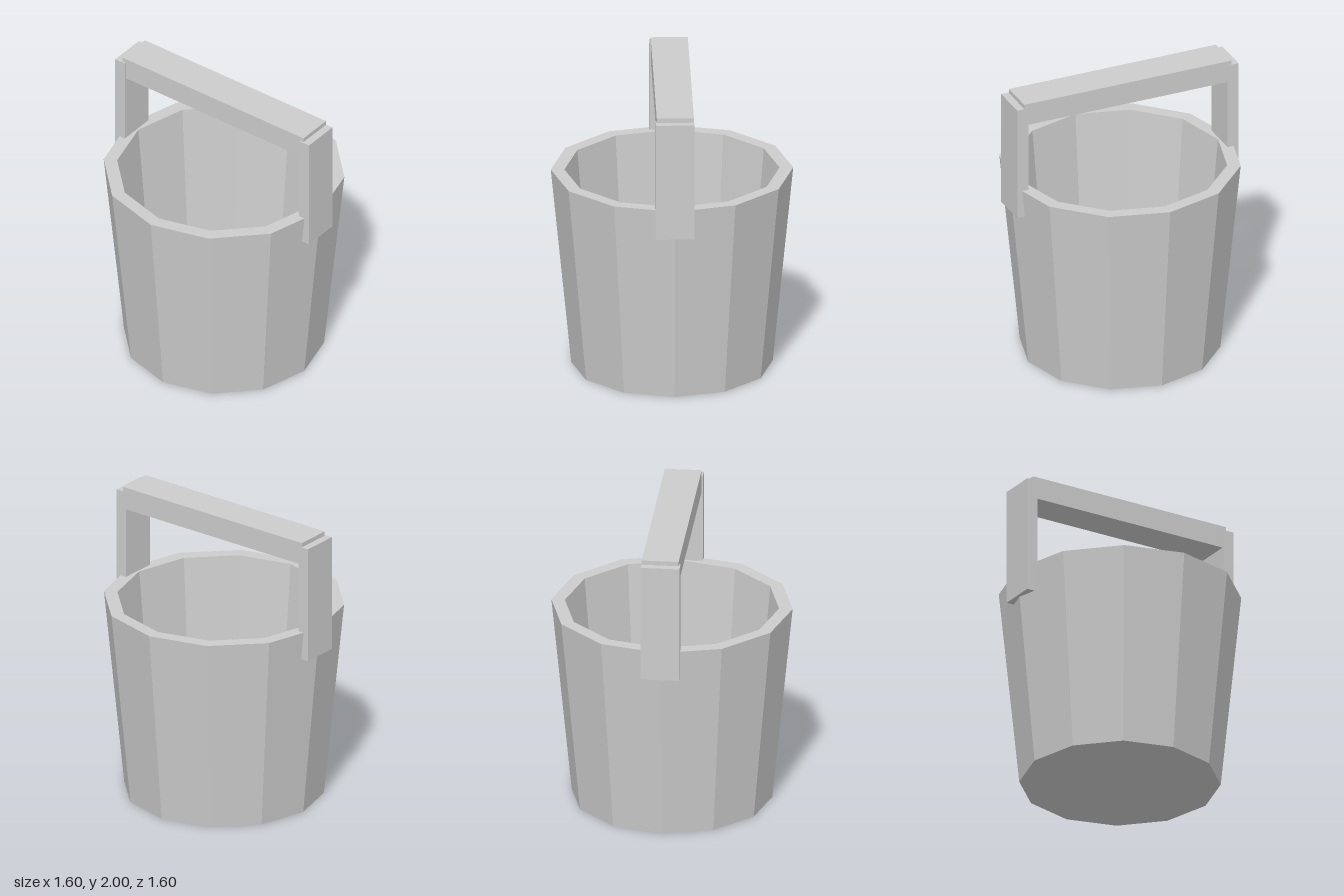
import * as THREE from 'three';

export function createModel() {
  const model = new THREE.Group();
  const material = new THREE.MeshStandardMaterial({ color: 0xcccccc, flatShading: true });

  const add = (name, geometry, x = 0, y = 0, z = 0) => {
    const mesh = new THREE.Mesh(geometry, material);
    mesh.name = name;
    mesh.position.set(x, y, z);
    model.add(mesh);
  };

  // Tapered twelve-sided tub: underside, outer wall, rim, inner wall, floor
  const profile = [[0, 0], [0.665, 0], [0.8, 1.36], [0.71, 1.36], [0.6, 0.12], [0, 0.12]]
    .map(([r, y]) => new THREE.Vector2(r, y));
  add('bucket', new THREE.LatheGeometry(profile, 12));

  // Upright straps fixed to the sides of the rim
  for (const side of [1, -1]) {
    add(side > 0 ? 'leftStrap' : 'rightStrap',
      new THREE.BoxGeometry(0.08, 0.805, 0.257), side * 0.762, 1.567, 0.002);
  }

  // Crossbar between the straps
  add('handleBar', new THREE.BoxGeometry(1.5, 0.155, 0.245), 0, 1.9225, -0.002);

  return model;
}
